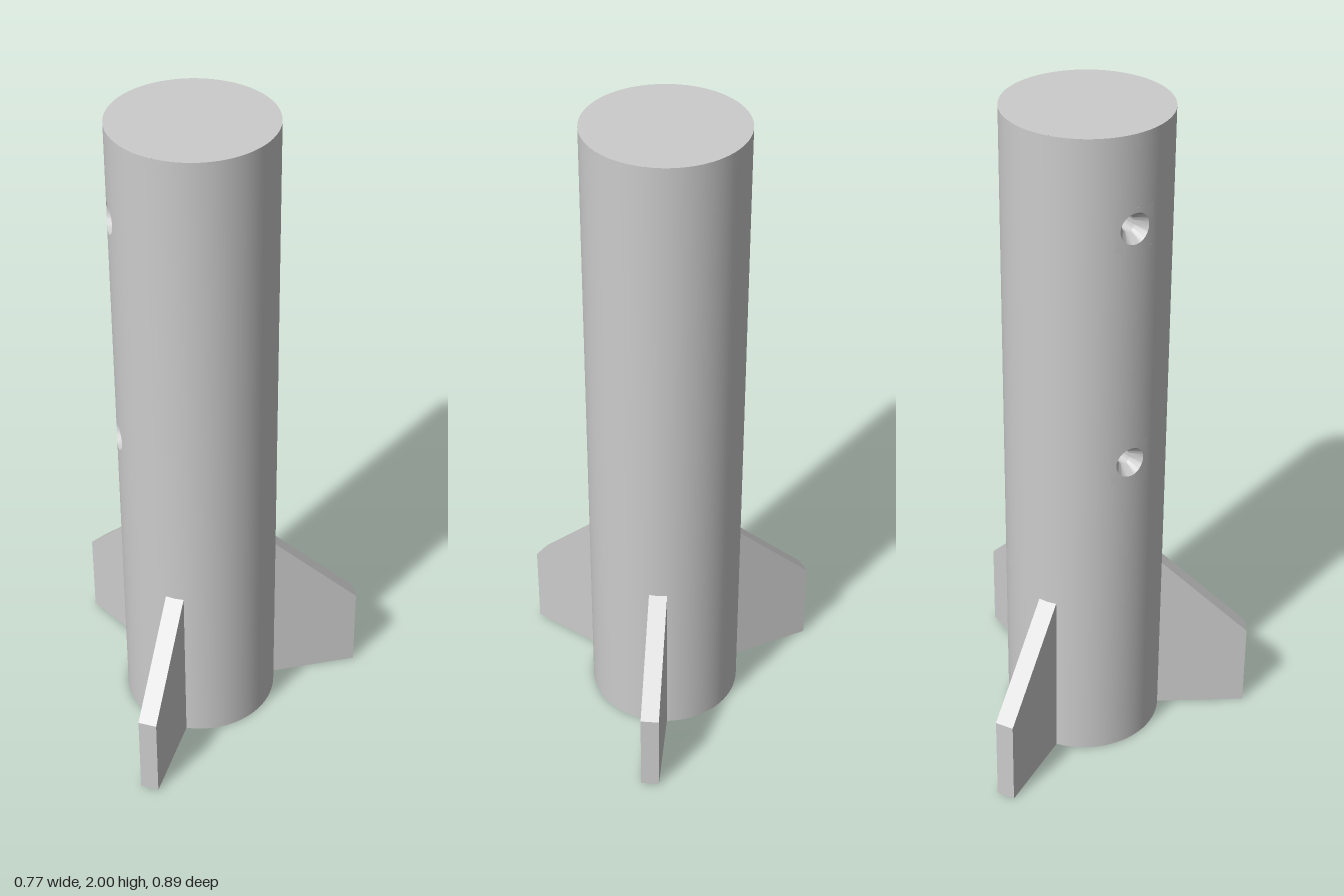
import * as THREE from 'three';
import { toCreasedNormals, mergeGeometries } from 'three/addons/utils/BufferGeometryUtils.js';

const HEIGHT = 2, R = 0.233, BORE = 0.123, CEILING = 1.88;
const AXIS_X = -0.115;            // tube axis, offset so the three fins are centred
const HOLES = [1.015, 1.735];     // heights of the countersunk holes on the -x side
const HALF = 0.06;                // half size of the wall patch around a hole
const SIDE = Math.PI * 1.5;       // cylinder angle that points to -x

// Wall patch with a countersunk hole: rings lofted from a square edge to the bore
function holePatch(y) {
  const n = 32;
  const ring = (size, r, square) => Array.from({ length: n }, (_, k) => {
    const t = (k / n) * Math.PI * 2, c = Math.cos(t), s = Math.sin(t);
    const edge = HALF / Math.max(Math.abs(c), Math.abs(s));
    const d = THREE.MathUtils.lerp(size, edge, square);
    const a = (d * c) / R;
    return [-r * Math.cos(a), y + d * s, r * Math.sin(a)];
  });
  const rings = [
    ring(0.045, R, 1), ring(0.045, R, 0.5), ring(0.045, R, 0),
    ring(0.023, R - 0.035, 0), ring(0.023, BORE, 0),
  ];
  const index = [];
  for (let i = 0; i < rings.length - 1; i++) {
    for (let k = 0; k < n; k++) {
      const m = (k + 1) % n, a = i * n + k, b = i * n + m;
      index.push(a, b, b + n, a, b + n, a + n);
    }
  }
  const g = new THREE.BufferGeometry();
  g.setAttribute('position', new THREE.Float32BufferAttribute(rings.flat(2), 3));
  g.setIndex(index);
  return toCreasedNormals(g, 0.5);
}

// Open section of the outer wall between two heights
function wall(y0, y1, start, length, segments) {
  return new THREE.CylinderGeometry(R, R, y1 - y0, segments, 1, true, start, length)
    .translate(0, (y0 + y1) / 2, 0);
}

export function createModel() {
  const grey = new THREE.MeshStandardMaterial({ color: 0xcccccc });
  grey.name = 'light grey';
  const model = new THREE.Group();
  model.name = 'finnedTube';
  const rocket = new THREE.Group();
  rocket.name = 'body';
  rocket.position.x = AXIS_X;
  model.add(rocket);

  const add = (name, geometry) => {
    const mesh = new THREE.Mesh(geometry, grey);
    mesh.name = name;
    rocket.add(mesh);
    return mesh;
  };

  // Outer wall, with a narrow strip on the -x side left for the holes
  const a = HALF / R;
  const walls = [wall(0, HEIGHT, SIDE + a, Math.PI * 2 - 2 * a, 72)];
  let y = 0;
  for (const h of HOLES) {
    walls.push(wall(y, h - HALF, SIDE - a, 2 * a, 8));
    y = h + HALF;
  }
  walls.push(wall(y, HEIGHT, SIDE - a, 2 * a, 8));
  add('outerWall', mergeGeometries(walls));
  HOLES.forEach((h, i) => add(i ? 'upperScrewHole' : 'lowerScrewHole', holePatch(h)));

  // Closed top, bottom rim and hollow bore
  add('topCap', new THREE.CircleGeometry(R, 72).rotateX(-Math.PI / 2).translate(0, HEIGHT, 0));
  add('bottomRim', new THREE.RingGeometry(BORE, R, 72, 1).rotateX(Math.PI / 2));
  const bore = [[0, CEILING], [BORE, CEILING], [BORE, 0]].map(p => new THREE.Vector2(...p));
  add('bore', toCreasedNormals(new THREE.LatheGeometry(bore, 72), 0.5));

  // Three swept fins
  const T = 0.055;
  const profile = new THREE.Shape(
    [[0.2, 0], [0.5, 0], [0.5, 0.27], [0.232, 0.537], [0.2, 0.537]].map(p => new THREE.Vector2(...p)));
  const finGeometry = new THREE.ExtrudeGeometry(profile, { depth: T, bevelEnabled: false })
    .translate(0, 0, -T / 2);
  ['leftFin', 'rearFin', 'frontFin'].forEach((name, i) => {
    add(name, finGeometry).rotation.y = (i * Math.PI * 2) / 3;
  });

  return model;
}
